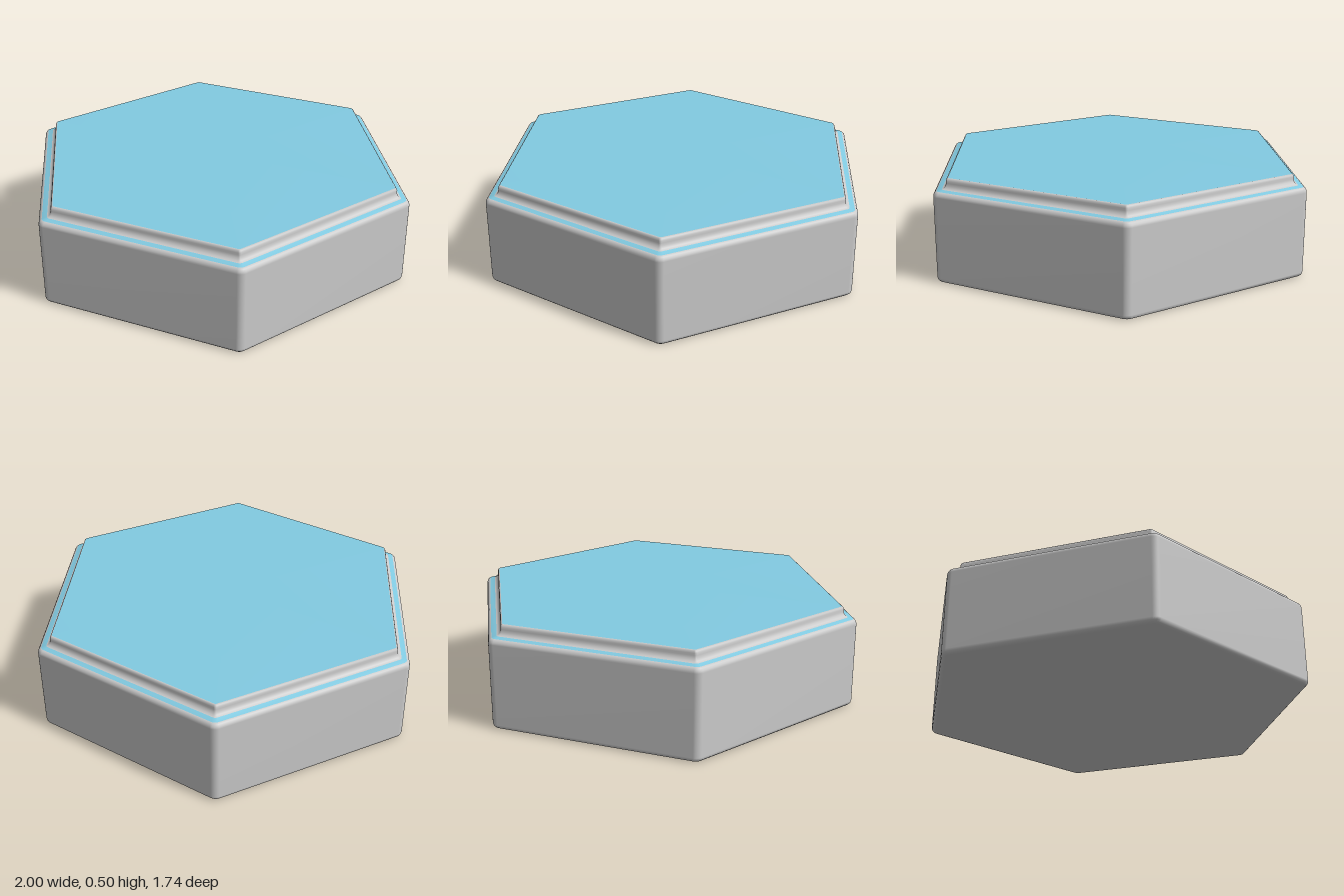
import * as THREE from 'three';

const ARC = 4; // segments per rounded corner
const COUNT = 6 * (ARC + 1);

// Cross-section from underside centre to top centre: [apothem, height, corner radius]
const profile = [
  [0, 0, 0],
  [0.848, 0, 0.025], [0.859, 0.004, 0.033], [0.867, 0.012, 0.04], [0.87, 0.024, 0.04],
  [0.87, 0.418, 0.04], [0.868, 0.429, 0.04], [0.862, 0.438, 0.036],
  [0.854, 0.443, 0.03], // outer edge of the ledge
  [0.83, 0.448, 0.02], // inner edge of the ledge
  [0.82, 0.454, 0.015], [0.813, 0.464, 0.012], [0.811, 0.476, 0.012],
  [0.811, 0.486, 0.012], [0.808, 0.495, 0.012],
  [0.802, 0.5, 0.01], // rim of the top
  [0, 0.5, 0],
];
const LEDGE_OUT = 8, LEDGE_IN = 9, RIM = 15, LAST = 16;

// Hexagon with rounded corners, corners on the x axis
function addRing(positions, [apothem, y, r]) {
  const reach = (apothem - r) / Math.cos(Math.PI / 6);
  for (let k = 0; k < 6; k++) {
    const corner = (k * Math.PI) / 3;
    for (let s = 0; s <= ARC; s++) {
      const t = corner + (s / ARC - 0.5) * (Math.PI / 3);
      positions.push(
        reach * Math.cos(corner) + r * Math.cos(t), y,
        reach * Math.sin(corner) + r * Math.sin(t));
    }
  }
}

// Triangles joining the rings from one profile index to another
function bandIndices(from, to) {
  const index = [];
  for (let i = from; i < to; i++) {
    for (let j = 0; j < COUNT; j++) {
      const a = i * COUNT + j, b = i * COUNT + ((j + 1) % COUNT);
      const c = a + COUNT, d = b + COUNT;
      if (i > 0) index.push(a, c, b);
      if (i < LAST - 1) index.push(b, c, d);
      if (i === 0) index.push(a, c, d);
    }
  }
  return index;
}

export function createModel() {
  const group = new THREE.Group();
  group.name = 'hexagonalTile';

  // One smooth surface, whose normals run on across the colour boundaries
  const positions = [];
  profile.forEach((p) => addRing(positions, p));
  const surface = new THREE.BufferGeometry();
  surface.setAttribute('position', new THREE.Float32BufferAttribute(positions, 3));
  surface.setIndex(bandIndices(0, LAST));
  surface.computeVertexNormals();
  // Centre points face straight down and up
  for (let j = 0; j < COUNT; j++) {
    surface.attributes.normal.setXYZ(j, 0, -1, 0);
    surface.attributes.normal.setXYZ(LAST * COUNT + j, 0, 1, 0);
  }

  const grey = new THREE.MeshStandardMaterial({ color: 0xcccccc });
  const blue = new THREE.MeshStandardMaterial({ color: 0x82cbe2 });

  const addBand = (name, from, to, material) => {
    const geometry = surface.clone();
    geometry.setIndex(bandIndices(from, to));
    const mesh = new THREE.Mesh(geometry, material);
    mesh.name = name;
    group.add(mesh);
  };

  addBand('base', 0, LEDGE_OUT, grey);
  addBand('ledge', LEDGE_OUT, LEDGE_IN, blue);
  addBand('raisedEdge', LEDGE_IN, RIM, grey);
  addBand('topFace', RIM, LAST, blue);

  return group;
}
